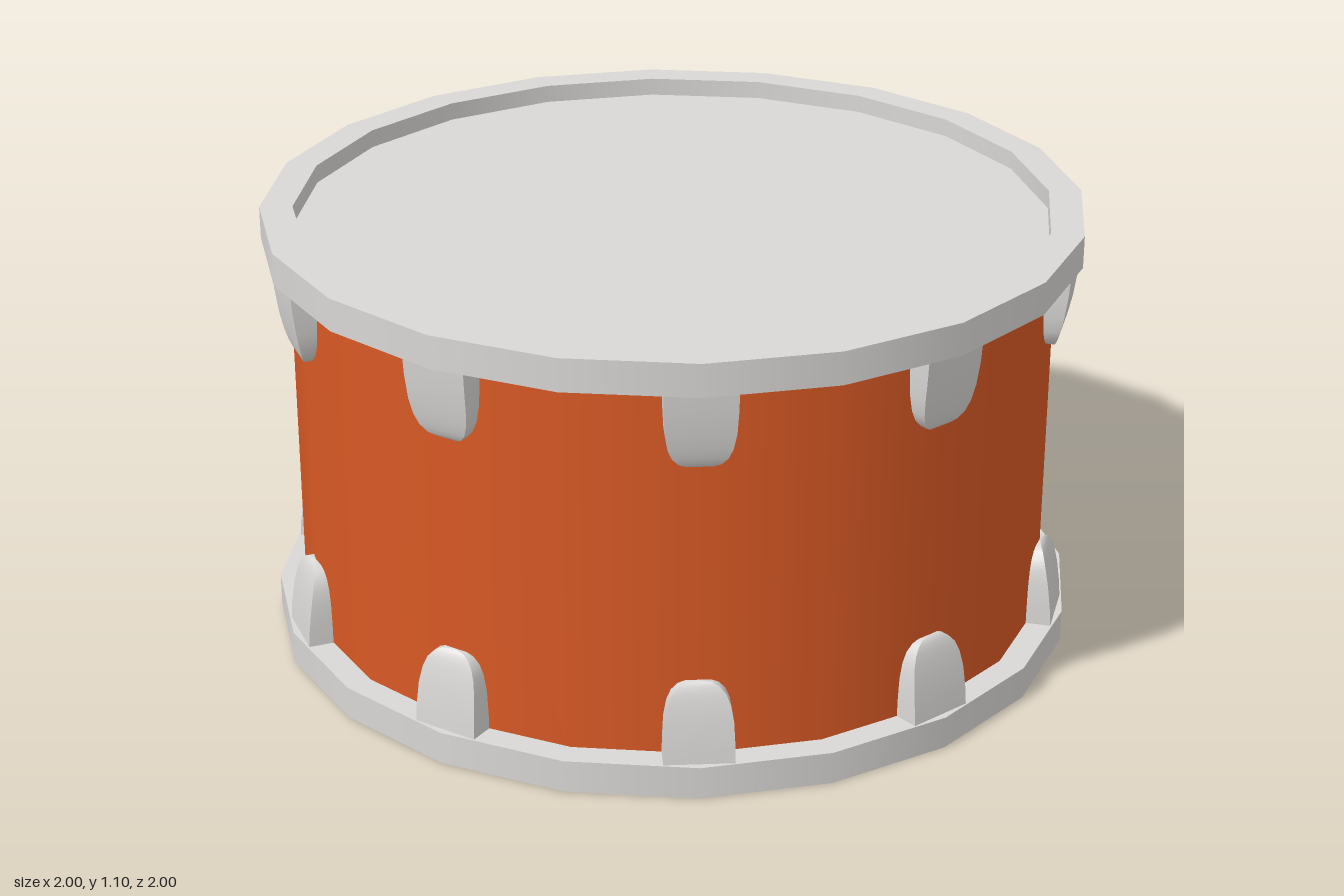
import * as THREE from 'three';
import { mergeGeometries } from 'three/addons/utils/BufferGeometryUtils.js';

const SIDES = 20, START = THREE.MathUtils.degToRad(3);
const HEIGHT = 1.08, HOOP = 0.08, RECESS = 0.045;
const OUTER = 1.0, INNER = 0.92, SHELL = 0.935;

// One lathed band per profile edge: smooth around, sharp between bands
function bandedLathe(profile) {
  const bands = [];
  for (let i = 0; i < profile.length - 1; i++) {
    const pts = [profile[i], profile[i + 1]].map(([r, y]) => new THREE.Vector2(r, y));
    bands.push(new THREE.LatheGeometry(pts, SIDES, START));
  }
  return mergeGeometries(bands);
}

// Strip through pairs of points, smooth along its length
function strip(left, right) {
  const pos = [], index = [];
  left.forEach((p, i) => {
    pos.push(...p, ...right[i]);
    if (i) {
      const a = 2 * (i - 1);
      index.push(a, a + 1, a + 3, a, a + 3, a + 2);
    }
  });
  const g = new THREE.BufferGeometry();
  g.setAttribute('position', new THREE.Float32BufferAttribute(pos, 3));
  g.setIndex(index);
  g.computeVertexNormals();
  return g;
}

// Round-ended lug that leans into the shell; dir = 1 points up, -1 down
function lugGeometry(dir) {
  // height, half width, outer radius
  const rows = [
    [0.05, 0.083, 0.985], [0.12, 0.082, 0.98], [0.18, 0.079, 0.972],
    [0.22, 0.072, 0.964], [0.245, 0.062, 0.957], [0.262, 0.047, 0.95],
    [0.27, 0.03, 0.943], [0.273, 0, 0.936],
  ];
  const y0 = dir > 0 ? 0 : HEIGHT;
  const line = (side, back) => rows.map(([h, w, r]) =>
    [side * w, y0 + dir * h, back ? 0.9 : r]);
  const s = dir; // swap sides when inverted to keep faces outward
  return mergeGeometries([
    strip(line(-s, false), line(s, false)),
    strip(line(s, false), line(s, true)),
    strip(line(-s, true), line(-s, false)),
  ]);
}

export function createModel() {
  const metal = new THREE.MeshStandardMaterial({ color: 0xd9d7d5 });
  metal.name = 'pale grey';
  const orange = new THREE.MeshStandardMaterial({ color: 0xd85925 });
  orange.name = 'burnt orange';

  const drum = new THREE.Group();
  drum.name = 'drum';
  const add = (name, geometry, material) => {
    const mesh = new THREE.Mesh(geometry, material);
    mesh.name = name;
    drum.add(mesh);
    return mesh;
  };

  // Shell
  add('shell', bandedLathe([[SHELL, RECESS], [SHELL, HEIGHT - RECESS]]), orange);

  // Hoops
  const hoop = bandedLathe([[OUTER, 0], [OUTER, HOOP], [INNER, HOOP], [INNER, 0], [OUTER, 0]]);
  add('bottomHoop', hoop, metal);
  add('topHoop', hoop, metal).position.y = HEIGHT - HOOP;

  // Recessed heads
  const head = new THREE.CircleGeometry(SHELL, SIDES, Math.PI / 2 + START);
  const topHead = add('topHead', head, metal);
  topHead.rotation.x = -Math.PI / 2;
  topHead.rotation.z = -2 * START;
  topHead.position.y = HEIGHT - RECESS;
  const bottomHead = add('bottomHead', head, metal);
  bottomHead.rotation.x = Math.PI / 2;
  bottomHead.position.y = RECESS;

  // Ten lugs on each hoop
  for (const [name, dir] of [['bottomLug', 1], ['topLug', -1]]) {
    const lug = lugGeometry(dir);
    for (let i = 0; i < 10; i++) {
      add(name + (i + 1), lug, metal).rotation.y = START + Math.PI / 10 + i * Math.PI / 5;
    }
  }

  // The drum leans very slightly
  drum.rotation.set(0.0065, 0, 0.0065);
  drum.position.set(0.0035, 0.009, -0.0035);

  const model = new THREE.Group();
  model.name = 'model';
  model.add(drum);
  return model;
}
